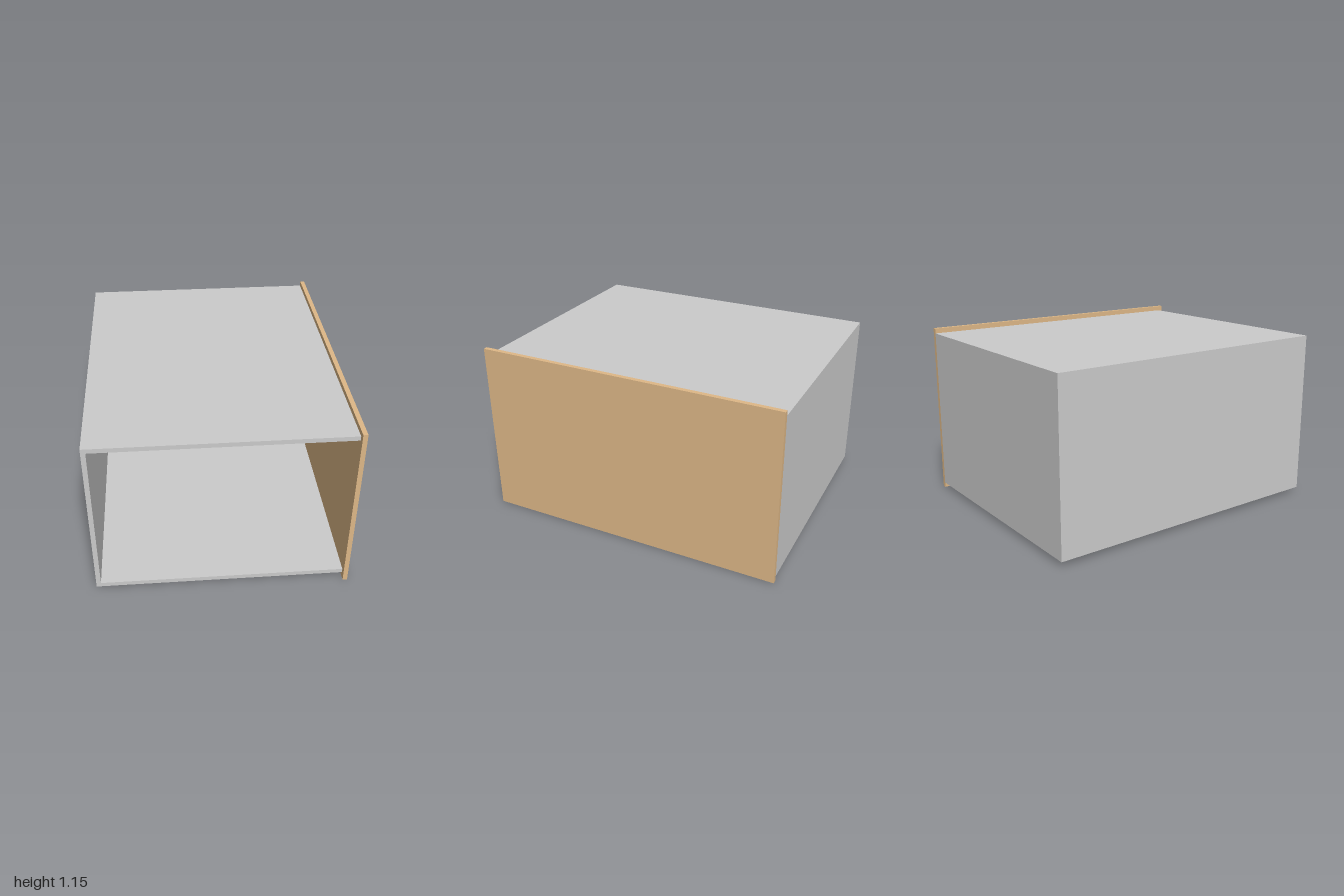
import * as THREE from 'three';

export function createModel() {
  const group = new THREE.Group();
  const grey = new THREE.MeshStandardMaterial({ color: 0xcccccc });
  const wood = new THREE.MeshStandardMaterial({ color: 0xdeb887 });

  // Box spanning two opposite corners
  const addBoard = (name, material, [x0, y0, z0], [x1, y1, z1]) => {
    const mesh = new THREE.Mesh(new THREE.BoxGeometry(x1 - x0, y1 - y0, z1 - z0), material);
    mesh.position.set((x0 + x1) / 2, (y0 + y1) / 2, (z0 + z1) / 2);
    mesh.name = name;
    group.add(mesh);
  };

  const t = 0.029; // board thickness
  const left = -0.797, right = 0.768; // carcass extents
  const bottom = 0.033, top = 1.116;
  const back = -1, front = 0.966;

  // Open-fronted carcass
  addBoard('bottomPanel', grey, [left, bottom, back], [right, bottom + t, front]);
  addBoard('topPanel', grey, [left, top - t, back], [right, top, front]);
  addBoard('sidePanel', grey, [left, bottom + t, back], [left + t, top - t, front]);
  addBoard('backPanel', grey, [left + t, bottom + t, back], [right, top - t, back + t]);

  // Larger wooden panel closing the other side
  addBoard('woodenSidePanel', wood, [right, 0, -1], [right + t, 1.149, 1]);

  return group;
}
